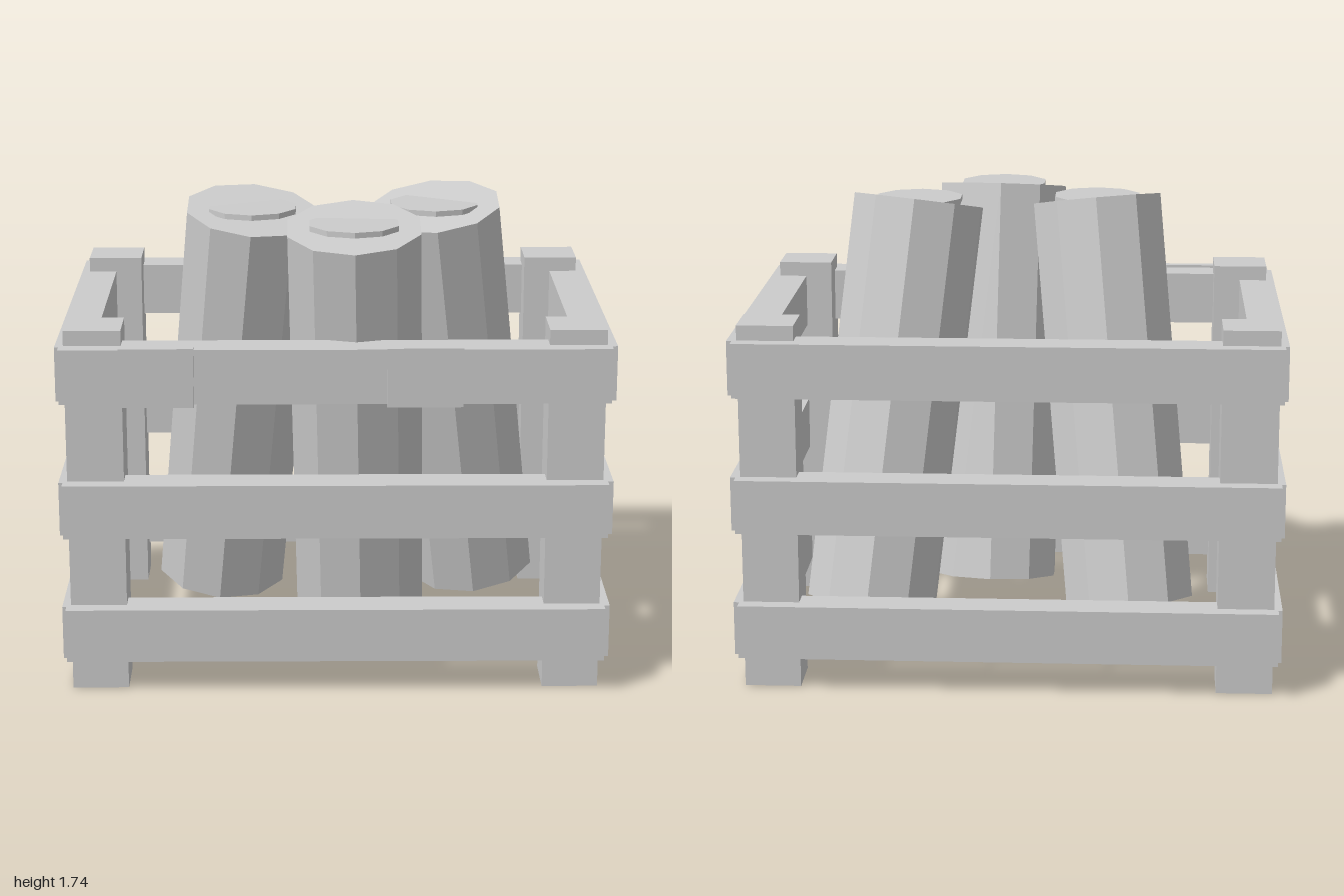
import * as THREE from 'three';

export function createModel() {
  const model = new THREE.Group();
  const material = new THREE.MeshStandardMaterial({ color: 0xcccccc, flatShading: true });
  material.name = 'plain grey';

  const add = (name, geometry, parent = model) => {
    const mesh = new THREE.Mesh(geometry, material);
    mesh.name = name;
    parent.add(mesh);
    return mesh;
  };
  // Box given by its extents on each axis
  const box = (name, [x0, x1], [y0, y1], [z0, z1]) =>
    add(name, new THREE.BoxGeometry(x1 - x0, y1 - y0, z1 - z0))
      .position.set((x0 + x1) / 2, (y0 + y1) / 2, (z0 + z1) / 2);

  // Corner posts
  for (const x of [[-0.97, -0.765], [0.76, 0.965]]) {
    box('frontPost', x, [0, 1.36], [0.46, 0.65]);
    box('backPost', x, [0, 1.36], [-0.685, -0.495]);
  }

  // Three tiers of slats around the crate
  for (const y of [[0.125, 0.325], [0.6, 0.8], [1.105, 1.305]]) {
    box('frontSlat', [-0.985, 0.98], y, [0.575, 0.71]);
    box('backSlat', [-0.985, 0.98], y, [-0.74, -0.61]);
    box('rightSlat', [-1, -0.865], y, [-0.695, 0.67]);
    box('leftSlat', [0.86, 1], y, [-0.695, 0.67]);
  }

  // Patches nailed on the top front slat
  for (const x of [[-0.77, -0.505], [0.18, 0.45]])
    box('patch', x, [1.1, 1.315], [0.7, 0.735]);

  // Leaning ten-sided logs: bottom x, z and top x, z of each axis
  const up = new THREE.Vector3(0, 1, 0);
  const logs = [
    [-0.445, -0.165, -0.305, 0.127],
    [0.095, 0.135, 0.066, 0.426],
    [0.54, -0.228, 0.37, 0.062],
  ];
  for (const [bx, bz, tx, tz] of logs) {
    const group = new THREE.Group();
    group.name = 'log';
    model.add(group);
    const bottom = new THREE.Vector3(bx, 0.185, bz);
    const top = new THREE.Vector3(tx, 1.685, tz);
    const axis = top.clone().sub(bottom);
    const trunk = add('trunk', new THREE.CylinderGeometry(0.252, 0.252, axis.length(), 10), group);
    trunk.position.copy(bottom).add(top).multiplyScalar(0.5);
    trunk.quaternion.setFromUnitVectors(up, axis.normalize());
    // Level disc half sunk into the sloping cut end
    const disc = add('endDisc', new THREE.CylinderGeometry(0.168, 0.168, 0.02, 10), group);
    disc.position.set(tx, 1.69, tz);
  }
  return model;
}
